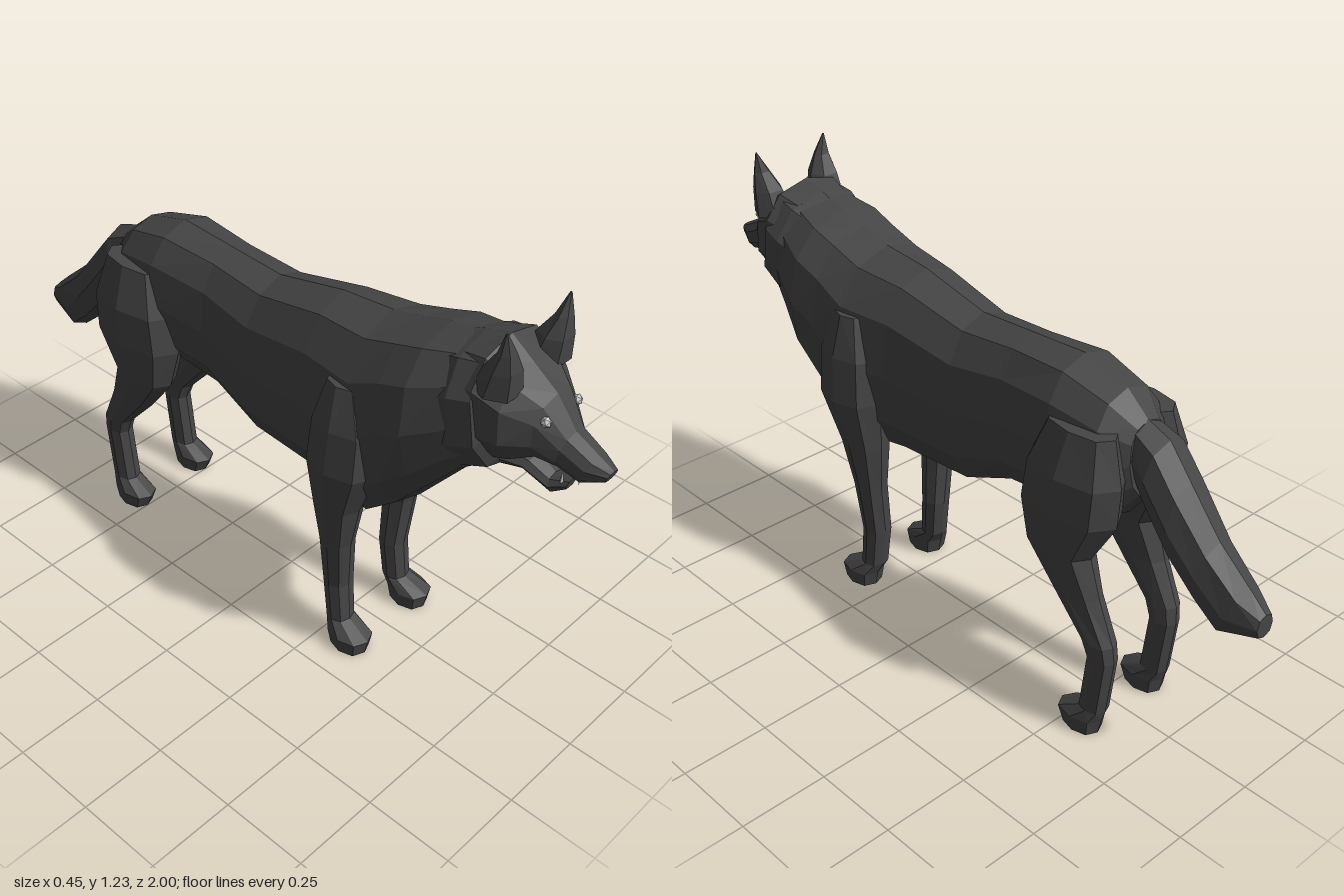
import * as THREE from 'three';

const coat = new THREE.MeshStandardMaterial({ color: 0x454545, flatShading: true });
const pale = new THREE.MeshStandardMaterial({ color: 0xcccccc, flatShading: true });

// Skin a list of equal-length rings and close both ends.
function loft(name, rings, material = coat) {
  const n = rings[0].length, pos = [], index = [];
  rings.forEach(r => r.forEach(p => pos.push(p.x, p.y, p.z)));
  for (let i = 0; i < rings.length - 1; i++) {
    for (let j = 0; j < n; j++) {
      const a = i * n + j, b = i * n + (j + 1) % n;
      index.push(a, b, b + n, a, b + n, a + n);
    }
  }
  [0, rings.length - 1].forEach(i => {
    const c = rings[i].reduce((s, p) => s.add(p), new THREE.Vector3()).divideScalar(n);
    const k = pos.length / 3;
    pos.push(c.x, c.y, c.z);
    for (let j = 0; j < n; j++) {
      const a = i * n + j, b = i * n + (j + 1) % n;
      index.push(...(i === 0 ? [k, b, a] : [k, a, b]));
    }
  });
  // Turn the faces outward, whichever way the rings run.
  const v = i => new THREE.Vector3().fromArray(pos, i * 3);
  let volume = 0;
  for (let i = 0; i < index.length; i += 3) volume += v(index[i]).dot(v(index[i + 1]).cross(v(index[i + 2])));
  if (volume < 0) index.reverse();
  const g = new THREE.BufferGeometry();
  g.setAttribute('position', new THREE.Float32BufferAttribute(pos, 3));
  g.setIndex(index);
  g.computeVertexNormals();
  const mesh = new THREE.Mesh(g, material);
  mesh.name = name;
  return mesh;
}

const soften = t => Math.sign(t) * Math.pow(Math.abs(t), 0.85);

// Ring across the spine: top z, y; bottom z, y; half width; height fraction of the widest line.
function section([zt, yt, zb, yb, w, mid = 0.5], n = 12) {
  return Array.from({ length: n }, (_, i) => {
    const a = i / n * Math.PI * 2, c = soften(Math.cos(a));
    const t = mid + (c > 0 ? 1 - mid : mid) * c;
    return new THREE.Vector3(w * soften(Math.sin(a)), yb + (yt - yb) * t, zb + (zt - zb) * t);
  });
}

// Level ring: height, inner x, outer x, back z, front z.
function level([y, xi, xo, zb, zf], side, n = 8) {
  return Array.from({ length: n }, (_, i) => {
    const a = i / n * Math.PI * 2;
    return new THREE.Vector3(
      side * ((xi + xo) / 2 + (xo - xi) / 2 * soften(Math.cos(a))), y,
      (zb + zf) / 2 + (zf - zb) / 2 * soften(Math.sin(a)));
  });
}

export function createModel() {
  const group = new THREE.Group();
  const along = (name, rows, n, mat) => group.add(loft(name, rows.map(r => section(r, n)), mat));
  const upright = (name, rows, side, n, mat) => group.add(loft(name, rows.map(r => level(r, side, n)), mat));

  // Trunk, from rump to neck
  along('body', [
    [-0.61, 0.90, -0.63, 0.70, 0.07],
    [-0.54, 0.96, -0.57, 0.62, 0.125],
    [-0.40, 1.00, -0.42, 0.59, 0.145],
    [-0.22, 0.99, -0.22, 0.56, 0.125],
    [-0.04, 0.98, -0.06, 0.49, 0.14],
    [0.18, 1.03, 0.18, 0.48, 0.16],
    [0.34, 1.045, 0.37, 0.455, 0.19],
    [0.44, 1.07, 0.46, 0.53, 0.19, 0.55],
    [0.52, 1.095, 0.55, 0.64, 0.195, 0.5],
    [0.60, 1.11, 0.64, 0.75, 0.165, 0.45],
    [0.67, 1.12, 0.71, 0.80, 0.14, 0.5]]);

  // Neck fur behind the cheeks
  along('neckRuff', [
    [0.54, 1.09, 0.54, 0.70, 0.14],
    [0.62, 1.12, 0.66, 0.77, 0.165],
    [0.68, 1.13, 0.73, 0.80, 0.155],
    [0.70, 1.12, 0.75, 0.84, 0.11]], 10);

  // Skull and upper muzzle
  along('head', [
    [0.62, 1.12, 0.64, 0.84, 0.13],
    [0.69, 1.14, 0.70, 0.82, 0.15, 0.55],
    [0.76, 1.09, 0.77, 0.845, 0.135, 0.55],
    [0.83, 1.04, 0.82, 0.87, 0.085, 0.55],
    [0.89, 0.965, 0.87, 0.865, 0.053],
    [0.96, 0.93, 0.93, 0.85, 0.045],
    [1.00, 0.91, 0.99, 0.88, 0.022]], 10);

  along('lowerJaw', [
    [0.72, 0.88, 0.70, 0.80, 0.075],
    [0.80, 0.855, 0.78, 0.815, 0.05],
    [0.85, 0.825, 0.86, 0.78, 0.036],
    [0.90, 0.835, 0.89, 0.80, 0.02]], 8);

  along('tail', [
    [-0.56, 0.92, -0.60, 0.76, 0.055],
    [-0.68, 0.875, -0.65, 0.69, 0.075],
    [-0.75, 0.79, -0.74, 0.575, 0.076],
    [-0.85, 0.67, -0.82, 0.495, 0.066],
    [-0.95, 0.585, -0.885, 0.44, 0.058],
    [-1.00, 0.54, -1.00, 0.475, 0.03]], 8);

  for (const [side, label] of [[1, 'left'], [-1, 'right']]) {
    // Front leg with shoulder and paw
    upright(label + 'FrontLeg', [
      [0.00, 0.08, 0.172, 0.29, 0.40],
      [0.045, 0.075, 0.178, 0.28, 0.41],
      [0.08, 0.08, 0.155, 0.265, 0.335],
      [0.20, 0.075, 0.155, 0.25, 0.325],
      [0.36, 0.085, 0.172, 0.245, 0.34],
      [0.50, 0.075, 0.195, 0.23, 0.37],
      [0.65, 0.06, 0.226, 0.22, 0.43],
      [0.78, 0.06, 0.215, 0.23, 0.43],
      [0.90, 0.08, 0.185, 0.27, 0.38]], side);

    // Hind leg with thigh, hock and paw
    upright(label + 'HindLeg', [
      [0.00, 0.08, 0.165, -0.61, -0.50],
      [0.045, 0.075, 0.17, -0.62, -0.48],
      [0.08, 0.085, 0.155, -0.63, -0.55],
      [0.25, 0.085, 0.155, -0.65, -0.57],
      [0.30, 0.085, 0.16, -0.645, -0.55],
      [0.42, 0.08, 0.168, -0.595, -0.44],
      [0.53, 0.065, 0.185, -0.56, -0.355],
      [0.65, 0.035, 0.198, -0.63, -0.325],
      [0.76, 0.03, 0.195, -0.635, -0.34],
      [0.88, 0.05, 0.155, -0.60, -0.39]], side);

    // Pointed ear
    upright(label + 'Ear', [
      [1.05, 0.04, 0.146, 0.67, 0.785],
      [1.12, 0.055, 0.14, 0.70, 0.785],
      [1.17, 0.082, 0.13, 0.735, 0.775],
      [1.225, 0.116, 0.12, 0.755, 0.76]], side, 6);

    const eye = new THREE.Mesh(new THREE.IcosahedronGeometry(0.014, 0), pale);
    eye.name = label + 'Eye';
    eye.position.set(side * 0.06, 1.0, 0.845);
    group.add(eye);

    // Upper and lower fangs
    for (const [name, y, z, turn] of [['UpperFang', 0.855, 0.925, Math.PI], ['LowerFang', 0.84, 0.88, 0]]) {
      const fang = new THREE.Mesh(new THREE.ConeGeometry(0.006, 0.035, 4), pale);
      fang.name = label + name;
      fang.position.set(side * 0.018, y, z);
      fang.rotation.x = turn;
      group.add(fang);
    }
  }
  return group;
}
